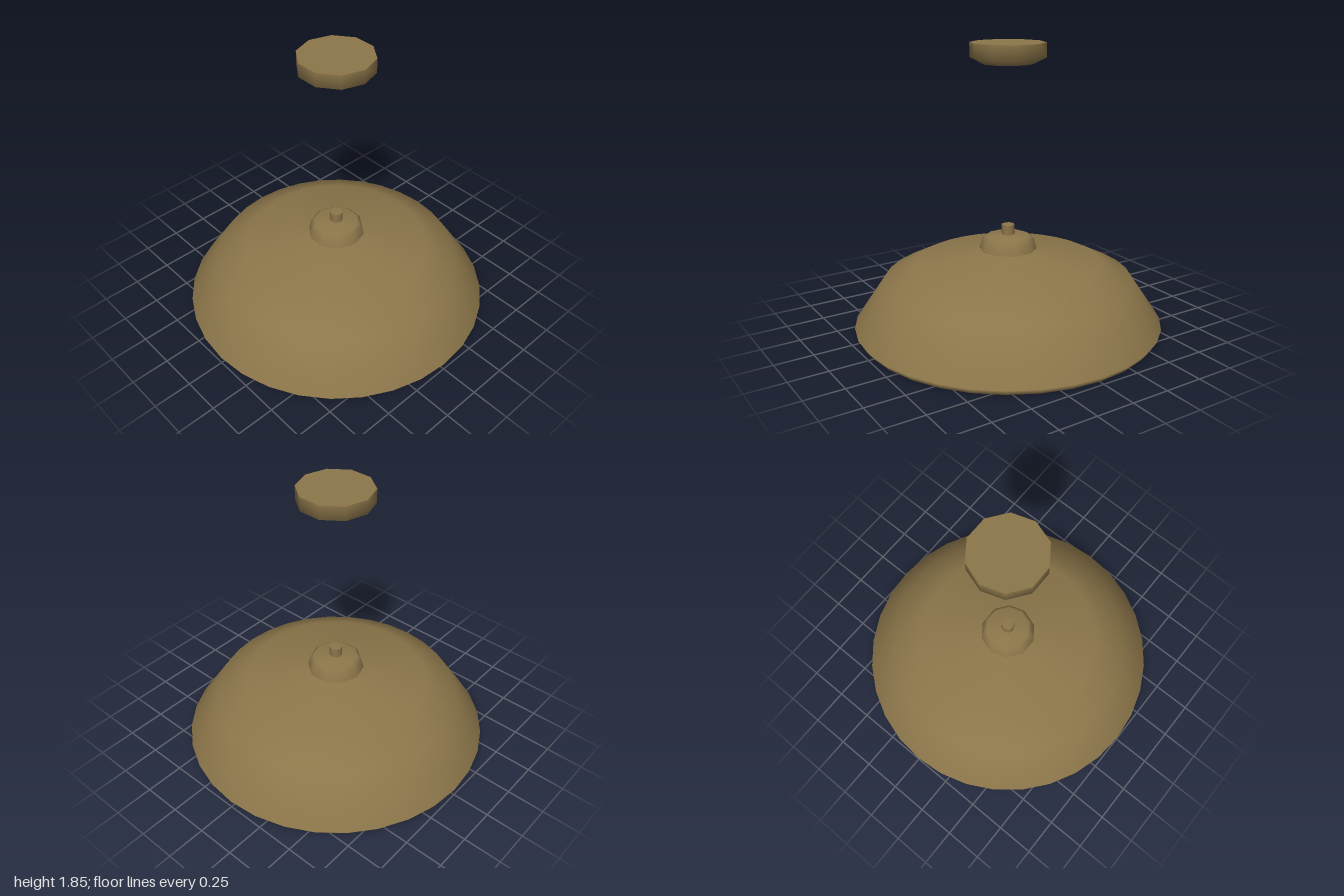
import * as THREE from 'three';

// Pendant lamp: ceiling canopy, stem, collar and a wide spun-metal shade.
export function createModel() {
  const lamp = new THREE.Group();
  lamp.name = 'pendantLamp';
  const brass = new THREE.MeshStandardMaterial({ color: 0x8c764a, side: THREE.DoubleSide });
  brass.name = 'agedBrass';

  // Revolve a [radius, height] profile, listed from bottom to top on the outside
  const turn = (name, profile, sides) => {
    const points = profile.map(([r, y]) => new THREE.Vector2(r, y));
    const mesh = new THREE.Mesh(new THREE.LatheGeometry(points, sides, Math.PI / 2), brass);
    mesh.name = name;
    lamp.add(mesh);
  };

  // Shade: inner wall down to the lip, then the outer wall back up to the neck hole
  turn('shade', [
    [0.11, 0.515], [0.59, 0.425], [0.785, 0.325], [0.955, 0.04], [0.955, 0],
    [0.97, 0.005], [1, 0.045], [0.805, 0.337], [0.6, 0.44], [0.13, 0.53], [0.11, 0.53], [0.11, 0.515],
  ], 32);

  // Collar sitting over the neck of the shade
  turn('collar', [[0.185, 0.53], [0.168, 0.595], [0.145, 0.612], [0.035, 0.627]], 10);

  // Stem passing through the collar into the shade
  turn('stem', [[0, 0.42], [0.042, 0.42], [0.042, 0.42], [0.042, 0.69], [0.042, 0.69], [0, 0.69]], 8);

  // Ceiling canopy with a chamfered underside
  turn('canopy', [
    [0, 1.72], [0.165, 1.72], [0.237, 1.757], [0.237, 1.848], [0.237, 1.848], [0, 1.848],
  ], 10);

  return lamp;
}
